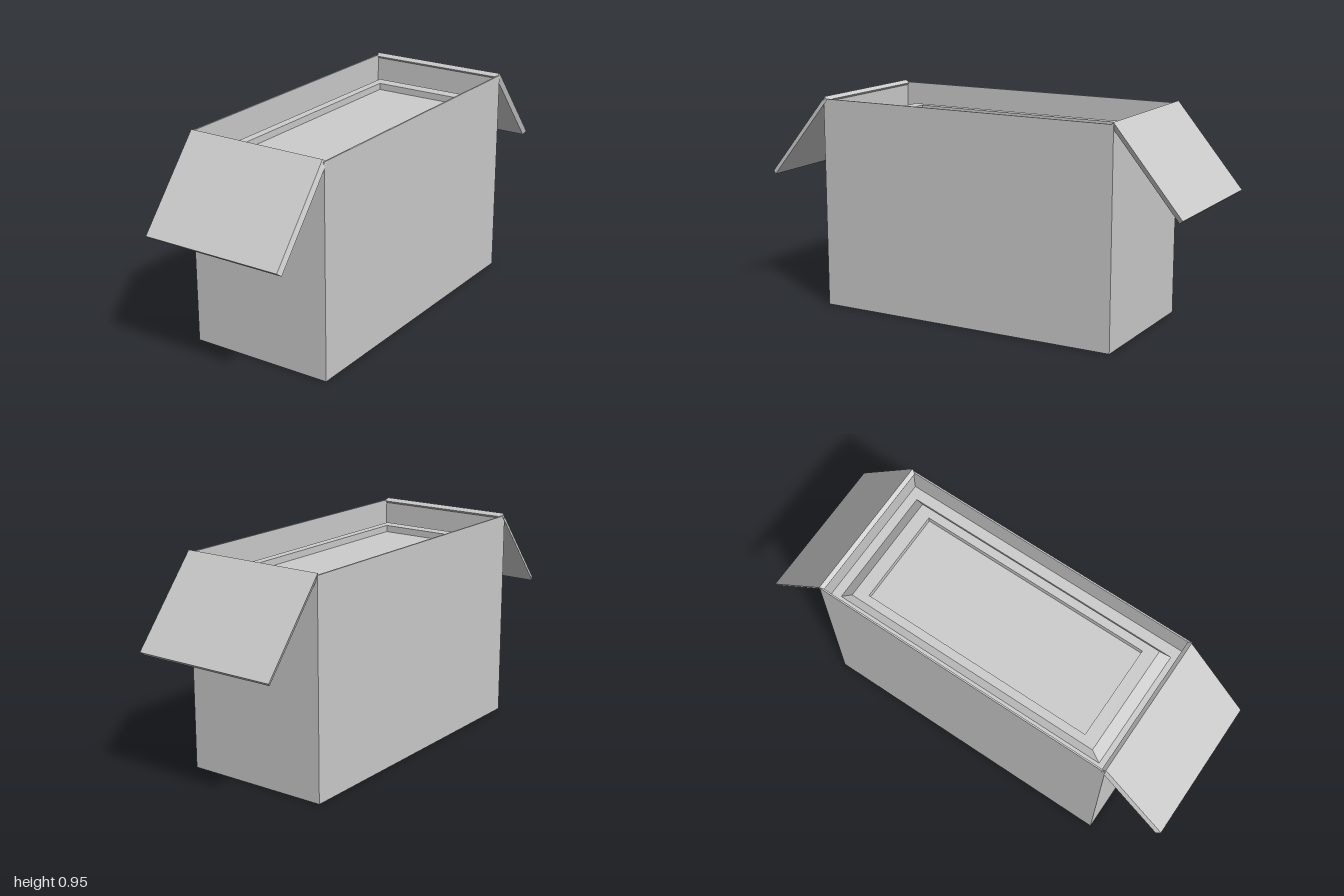
import * as THREE from 'three';

const material = new THREE.MeshStandardMaterial({ color: 0xcccccc, flatShading: true });

// Skins rectangular rings [halfWidth, y, halfDepth] in order and caps both ends.
// Rings run from the downward-facing cap, around the outside, to the upward-facing cap.
function loftRectangles(name, rings) {
  const corners = rings.map(([w, y, d]) => [[-w, y, d], [w, y, d], [w, y, -d], [-w, y, -d]]);
  const positions = [];
  const quad = (a, b, c, d) => positions.push(...a, ...b, ...c, ...a, ...c, ...d);
  for (let i = 0; i < corners.length - 1; i++) {
    const lower = corners[i], upper = corners[i + 1];
    for (let j = 0; j < 4; j++) {
      const k = (j + 1) % 4;
      quad(lower[j], lower[k], upper[k], upper[j]);
    }
  }
  quad(...corners[0].slice().reverse());
  quad(...corners[corners.length - 1]);
  const geometry = new THREE.BufferGeometry();
  geometry.setAttribute('position', new THREE.Float32BufferAttribute(positions, 3));
  geometry.computeVertexNormals();
  const mesh = new THREE.Mesh(geometry, material);
  mesh.name = name;
  return mesh;
}

export function createModel() {
  const group = new THREE.Group();
  group.name = 'openBox';

  // Outer box with thin walls and a floor part way down
  group.add(loftRectangles('boxBody', [
    [0.33, 0, 0.7],
    [0.33, 0.94, 0.7],
    [0.323, 0.94, 0.69],
    [0.323, 0.81, 0.69],
  ]));

  // Raised panel with sloping sides and a shallow recess
  group.add(loftRectangles('recessedPanel', [
    [0.275, 0.81, 0.648],
    [0.255, 0.852, 0.6],
    [0.217, 0.852, 0.54],
    [0.217, 0.822, 0.54],
  ]));

  // Folded-out end flaps, each narrower on its front-facing side
  const thickness = 0.022, halfLength = 0.235;
  const tilt = Math.atan2(0.36, 0.3);
  for (const side of [1, -1]) {
    const narrow = 0.322, wide = 0.332;
    const flap = loftRectangles(side > 0 ? 'frontFlap' : 'backFlap', [
      [side > 0 ? wide : narrow, -thickness, halfLength],
      [side > 0 ? narrow : wide, 0, halfLength],
    ]);
    flap.position.set(0, 0.769, side * 0.85);
    flap.rotation.x = side * tilt;
    group.add(flap);
  }

  return group;
}
